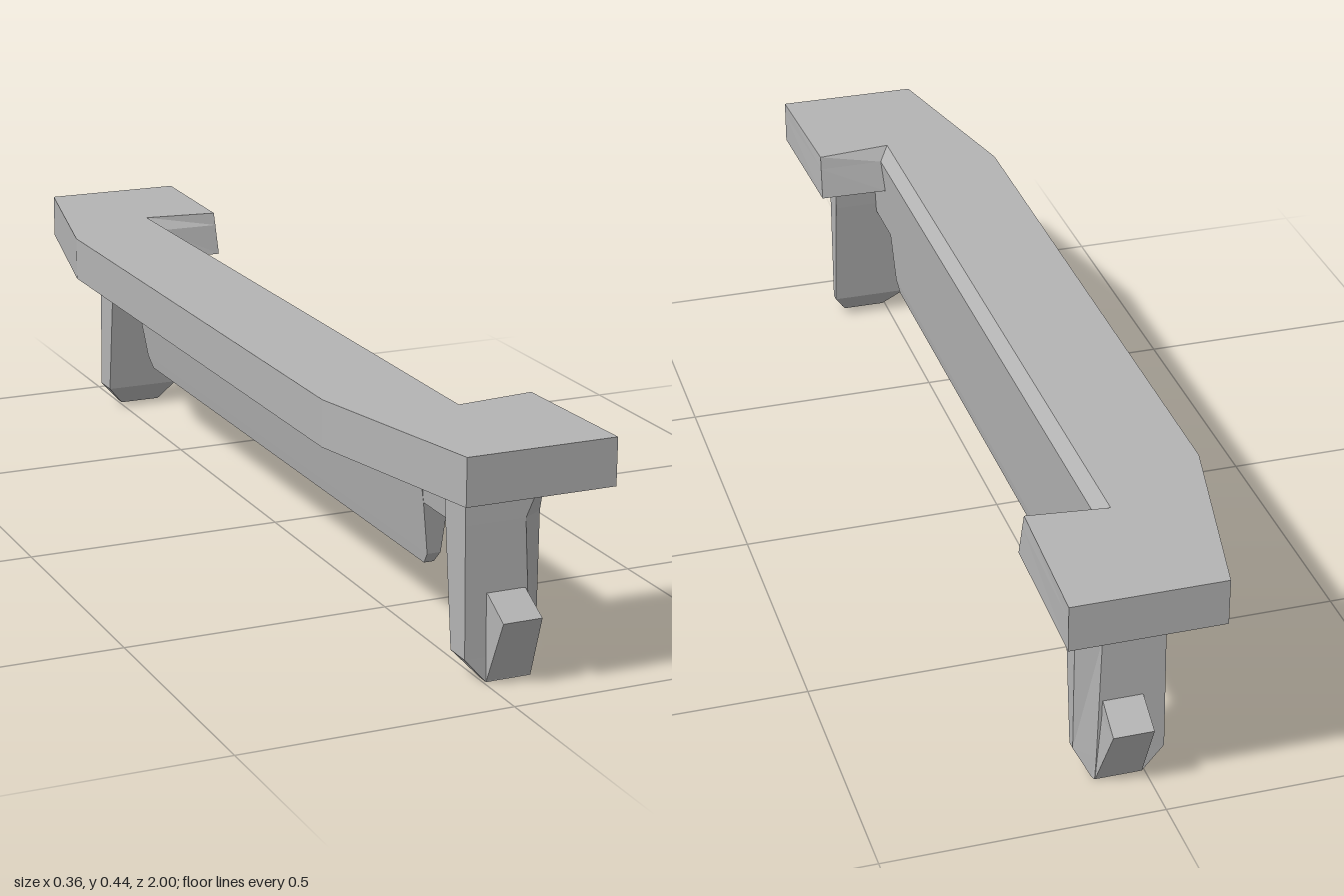
import * as THREE from 'three';

const grey = new THREE.MeshStandardMaterial({ color: 0xb4b4b4 });
grey.name = 'grey plastic';

// Closed flat-shaded solid through rings of [x, z] points, each at height y.
function loft(name, levels, mirror = 1) {
  const rings = levels.map(([y, pts]) => pts.map(([x, z]) => new THREE.Vector3(x, y, z * mirror)));
  const tris = [];
  const n = rings[0].length;
  for (let r = 0; r + 1 < rings.length; r++) {
    for (let i = 0; i < n; i++) {
      const j = (i + 1) % n, a = rings[r], b = rings[r + 1];
      tris.push([a[i], a[j], b[j]], [a[i], b[j], b[i]]);
    }
  }
  // end caps, wound to agree with the sides
  const cap = (ring, wantSign) => {
    const flat = ring.map(p => new THREE.Vector2(p.x, p.z));
    for (const [a, b, c] of THREE.ShapeUtils.triangulateShape(flat.slice(), [])) {
      const s = THREE.ShapeUtils.area([flat[a], flat[b], flat[c]]);
      tris.push(Math.sign(s) === wantSign ? [ring[a], ring[b], ring[c]] : [ring[a], ring[c], ring[b]]);
    }
  };
  const dir = Math.sign(THREE.ShapeUtils.area(rings[0].map(p => new THREE.Vector2(p.x, p.z))));
  cap(rings[0], -dir);
  cap(rings[rings.length - 1], dir);
  // turn the whole solid outwards if its volume is negative
  const volume = tris.reduce((v, [a, b, c]) => v + a.dot(b.clone().cross(c)), 0);
  if (volume < 0) tris.forEach(t => t.reverse());
  const geometry = new THREE.BufferGeometry().setFromPoints(tris.flat());
  geometry.computeVertexNormals();
  const mesh = new THREE.Mesh(geometry, grey);
  mesh.name = name;
  return mesh;
}

const rect = (x0, x1, z0, z1) => [[x0, z0], [x1, z0], [x1, z1], [x0, z1]];

// C-shaped outline: chamfered outer side, notch on the +x side
function plateOutline(inner, notchZ, tipX, tipZ) {
  const half = [[-0.18, 0.62], [-0.097, 1], [0.178, 1], [tipX, tipZ], [inner, notchZ]];
  return [...half, ...half.map(([x, z]) => [x, -z]).reverse()];
}

export function createModel() {
  const group = new THREE.Group();
  group.name = 'clipBracket';

  group.add(loft('topPlate', [
    [0.445, plateOutline(0.02, 0.737, 0.167, 0.72)],
    [0.42, plateOutline(0.04, 0.715, 0.168, 0.714)],
    [0.36, plateOutline(0.036, 0.697, 0.17, 0.7)],
  ]));

  // long tapered wall hanging under the plate
  group.add(loft('wall', [
    [0.36, rect(-0.035, 0.036, -0.695, 0.695)],
    [0.26, rect(-0.019, 0.029, -0.688, 0.688)],
    [0.16, rect(-0.004, 0.022, -0.675, 0.675)],
    [0.137, rect(0, 0.019, -0.655, 0.655)],
  ]));

  for (const side of [1, -1]) {
    const end = side > 0 ? 'front' : 'back';

    // short web joining the wall to the leg
    group.add(loft(end + 'Web', [
      [0.36, rect(-0.03, 0.036, 0.67, 0.81)],
      [0.26, rect(-0.019, 0.029, 0.67, 0.815)],
    ], side));

    // leg with one cut corner and a tapered foot
    group.add(loft(end + 'Leg', [
      [0.36, [[-0.035, 0.875], [0.116, 0.875], [0.118, 0.86], [0.118, 0.795], [-0.035, 0.795]]],
      [0.28, [[-0.035, 0.878], [0.078, 0.878], [0.118, 0.852], [0.118, 0.803], [-0.035, 0.803]]],
      [0.045, [[-0.035, 0.885], [0.087, 0.885], [0.118, 0.85], [0.118, 0.832], [-0.035, 0.832]]],
      [0, [[0.005, 0.887], [0.09, 0.887], [0.093, 0.88], [0.09, 0.868], [0.005, 0.868]]],
    ], side));

    // snap barb on the outer face of the leg
    group.add(loft(end + 'Barb', [
      [0.158, rect(0.005, 0.077, 0.87, 0.886)],
      [0.125, rect(0.005, 0.078, 0.87, 0.945)],
      [0.002, rect(0.005, 0.089, 0.87, 0.888)],
    ], side));
  }
  return group;
}
